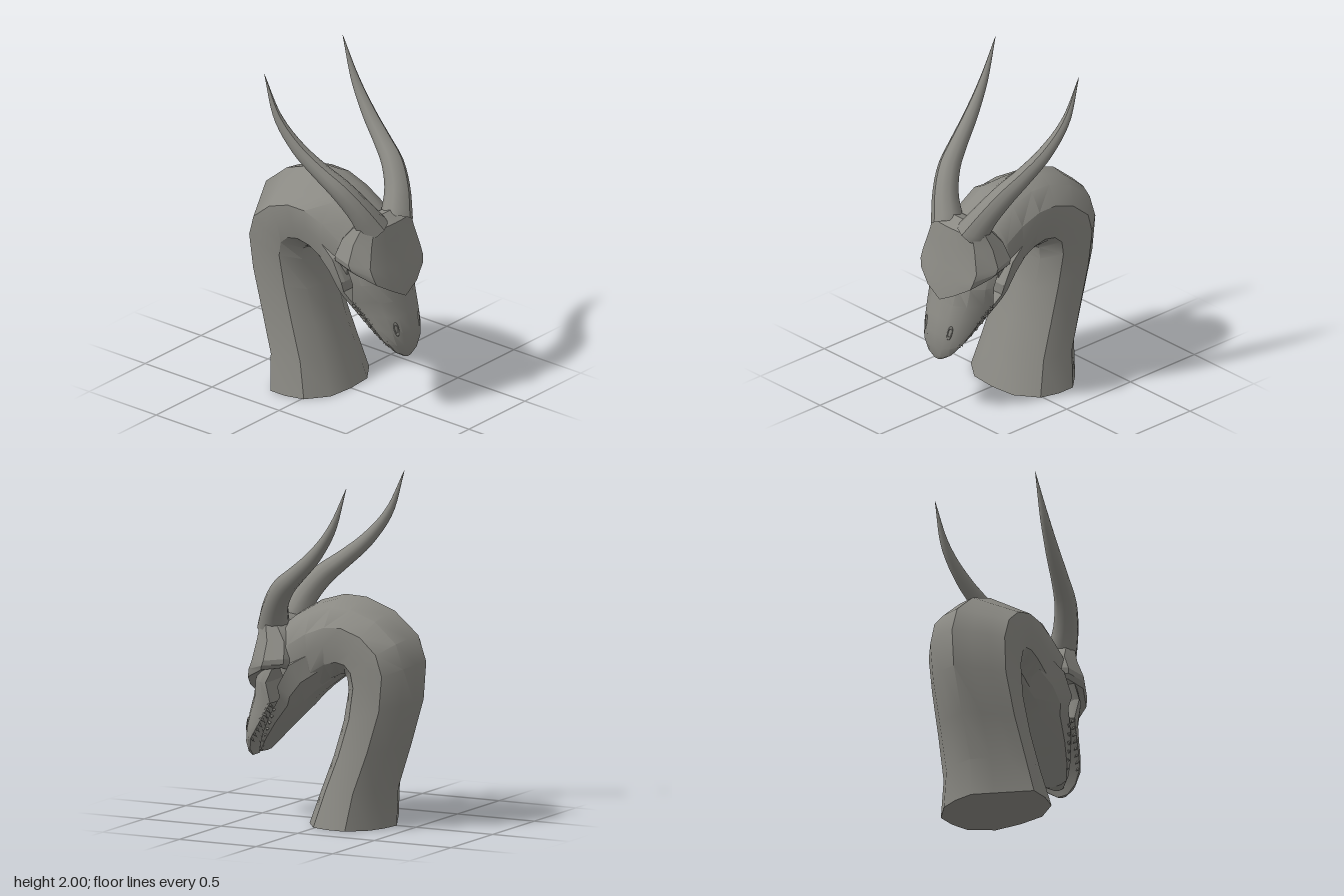
import * as THREE from 'three';
import { toCreasedNormals } from 'three/addons/utils/BufferGeometryUtils.js';

const stone = new THREE.MeshStandardMaterial({ color: 0x8a8983 });
stone.name = 'stone grey';

// Cross-sections: [fraction of half width, t from the first edge (0) to the second edge (1)]
const mirrored = (half) => [...half, ...half.slice(1, -1).reverse().map(([x, t]) => [-x, t])];
const neckHalf = [[0, 0], [0.5, 0.03], [0.9, 0.22], [1, 0.45], [1, 0.67], [0.7, 0.89], [0.37, 0.97], [0, 1]];
const skullHalf = [[0, 0], [0.4, 0.02], [0.78, 0.13], [1, 0.45], [0.92, 0.8], [0.5, 1], [0, 1]];
const snoutHalf = [[0, 0], [0.38, 0.03], [0.68, 0.25], [0.92, 0.65], [1, 0.95], [0.9, 1], [0, 0.9]];
const jawHalf = [[0, 0], [0.45, 0.05], [0.85, 0.4], [1, 0.95], [0.9, 1], [0, 0.85]];

// Each ring is [y0, z0, y1, z1, halfWidth, lift]: first edge, second edge, width, rise of the sides
function loft(name, rings, sectionOf, crease) {
  const pos = [], index = [];
  const n = sectionOf(0).length;
  rings.forEach(([y0, z0, y1, z1, w, lift = 0], i) => {
    for (const [x, t] of sectionOf(i)) {
      pos.push(x * w, y0 + (y1 - y0) * t + lift * Math.abs(x), z0 + (z1 - z0) * t);
    }
  });
  for (let i = 0; i < rings.length - 1; i++) {
    for (let j = 0; j < n; j++) {
      const a = i * n + j, b = i * n + (j + 1) % n;
      index.push(a, b, a + n, b, b + n, a + n);
    }
  }
  // End caps
  [0, rings.length - 1].forEach((i) => {
    const [y0, z0, y1, z1, , lift = 0] = rings[i];
    const c = pos.length / 3;
    pos.push(0, (y0 + y1) / 2 + lift / 2, (z0 + z1) / 2);
    for (let j = 0; j < n; j++) {
      const a = i * n + j, b = i * n + (j + 1) % n;
      if (i === 0) index.push(c, b, a); else index.push(c, a, b);
    }
  });
  const g = new THREE.BufferGeometry();
  g.setAttribute('position', new THREE.Float32BufferAttribute(pos, 3));
  g.setIndex(index);
  const mesh = new THREE.Mesh(toCreasedNormals(g, crease), stone);
  mesh.name = name;
  return mesh;
}

// Tapering horn: a tube whose rings are scaled about the path
function horn(side) {
  const path = new THREE.CatmullRomCurve3([
    [0.10, 1.11, 0.375], [0.175, 1.25, 0.32], [0.235, 1.37, 0.235], [0.275, 1.46, 0.13],
    [0.315, 1.58, -0.005], [0.345, 1.75, -0.135], [0.35, 2.0, -0.235],
  ].map(([x, y, z]) => new THREE.Vector3(side * x, y, z)));
  const radii = [0.095, 0.075, 0.065, 0.053, 0.042, 0.026, 0.001];
  const steps = 24, sides = 10;
  const g = new THREE.TubeGeometry(path, steps, 1, sides, false);
  const p = g.attributes.position, v = new THREE.Vector3();
  for (let i = 0; i <= steps; i++) {
    const c = path.getPointAt(i / steps);
    const u = path.getUtoTmapping(i / steps) * (radii.length - 1);
    const k = Math.min(Math.floor(u), radii.length - 2);
    const r = THREE.MathUtils.lerp(radii[k], radii[k + 1], u - k);
    for (let j = 0; j <= sides; j++) {
      const at = i * (sides + 1) + j;
      v.fromBufferAttribute(p, at).sub(c).multiplyScalar(r).add(c);
      p.setXYZ(at, v.x, v.y, v.z);
    }
  }
  g.computeVertexNormals();
  const mesh = new THREE.Mesh(g, stone);
  mesh.name = side > 0 ? 'leftHorn' : 'rightHorn';
  return mesh;
}

// Row of small cone teeth along a lip; dir is the way they point
function teeth(name, points, dir, count) {
  const group = new THREE.Group();
  group.name = name;
  const down = new THREE.Vector3(...dir).normalize();
  for (const side of [-1, 1]) {
    const lip = new THREE.CatmullRomCurve3(points.map(([x, y, z]) => new THREE.Vector3(side * x, y, z)));
    for (let i = 0; i < count; i++) {
      const tooth = new THREE.Mesh(new THREE.ConeGeometry(0.012, 0.045, 5), stone);
      tooth.name = 'tooth';
      tooth.position.copy(lip.getPointAt(i / (count - 1)));
      tooth.quaternion.setFromUnitVectors(new THREE.Vector3(0, 1, 0), down);
      group.add(tooth);
    }
  }
  return group;
}

export function createModel() {
  const model = new THREE.Group();
  model.name = 'hornedHead';

  // Arched neck; its right back edge is cut flat up to the crest
  const full = mirrored(neckHalf);
  const cut = full.map(([x, t]) => (x < 0 && t > 0.8 ? [x, 1 + x * 0.33] : [x, t]));
  model.add(loft('neck', [
    [0, 0.12, 0, -0.375, 0.325],
    [0.2, 0.05, 0.22, -0.385, 0.285],
    [0.4, -0.025, 0.48, -0.47, 0.265],
    [0.6, -0.085, 0.75, -0.55, 0.257],
    [0.78, -0.12, 0.97, -0.567, 0.265],
    [0.85, -0.115, 1.12, -0.515, 0.27],
    [0.866, -0.10, 1.25, -0.36, 0.26],
    [0.86, -0.07, 1.315, -0.18, 0.25],
    [0.83, -0.01, 1.32, -0.04, 0.24],
    [0.77, 0.07, 1.275, 0.11, 0.232],
    [0.7, 0.16, 1.2, 0.24, 0.23],
    [0.68, 0.21, 1.12, 0.34, 0.21],
  ], (i) => (i < 9 ? cut : full), 0.6));

  // Skull, from the V-shaped brow edge up to the crown
  const skull = mirrored(skullHalf);
  model.add(loft('skull', [
    [0.72, 0.46, 0.8, 0.2, 0.2, 0.13],
    [0.705, 0.53, 0.79, 0.17, 0.265, 0.14],
    [0.8, 0.518, 0.86, 0.15, 0.285, 0.085],
    [0.9, 0.495, 0.95, 0.15, 0.288, 0.02],
    [1.05, 0.47, 1.05, 0.18, 0.243],
    [1.14, 0.452, 1.13, 0.26, 0.21],
    [1.185, 0.38, 1.16, 0.3, 0.11],
  ], () => skull, 0.5));

  // Upper jaw, from the beak tip up under the brow
  const snout = mirrored(snoutHalf);
  model.add(loft('snout', [
    [0.335, 0.553, 0.34, 0.54, 0.035],
    [0.36, 0.562, 0.385, 0.525, 0.1],
    [0.42, 0.57, 0.46, 0.49, 0.155],
    [0.5, 0.568, 0.54, 0.43, 0.183],
    [0.6, 0.545, 0.62, 0.37, 0.207],
    [0.69, 0.515, 0.69, 0.315, 0.235],
    [0.8, 0.49, 0.81, 0.335, 0.255],
    [0.9, 0.46, 0.92, 0.28, 0.25],
  ], () => snout, 0.5));

  // Lower jaw, from the cheek forward to the chin
  const jaw = mirrored(jawHalf);
  model.add(loft('lowerJaw', [
    [0.84, -0.03, 1.0, 0.08, 0.225],
    [0.75, 0.09, 0.93, 0.2, 0.255],
    [0.69, 0.16, 0.8, 0.27, 0.26],
    [0.64, 0.205, 0.735, 0.265, 0.235],
    [0.53, 0.315, 0.61, 0.355, 0.19],
    [0.44, 0.4, 0.5, 0.42, 0.145],
    [0.37, 0.465, 0.415, 0.465, 0.095],
    [0.36, 0.505, 0.375, 0.505, 0.035],
  ], () => jaw, 0.5));

  // Horns and slit nostrils
  for (const side of [-1, 1]) {
    model.add(horn(side));
    const nostril = new THREE.Mesh(new THREE.TorusGeometry(0.02, 0.006, 6, 16), stone);
    nostril.name = side > 0 ? 'leftNostril' : 'rightNostril';
    nostril.scale.set(0.6, 1.7, 1);
    nostril.position.set(side * 0.1, 0.53, 0.543);
    nostril.rotation.set(-0.15, side * 0.6, side * -0.12);
    model.add(nostril);
  }

  // Teeth along both lips
  model.add(teeth('upperTeeth',
    [[0.22, 0.67, 0.325], [0.195, 0.6, 0.375], [0.17, 0.53, 0.43], [0.14, 0.45, 0.49]], [0, -0.6, -0.6], 8));
  model.add(teeth('lowerTeeth',
    [[0.2, 0.66, 0.325], [0.17, 0.58, 0.37], [0.125, 0.49, 0.425], [0.08, 0.42, 0.465]], [0, 0.6, 0.5], 7));
  return model;
}
